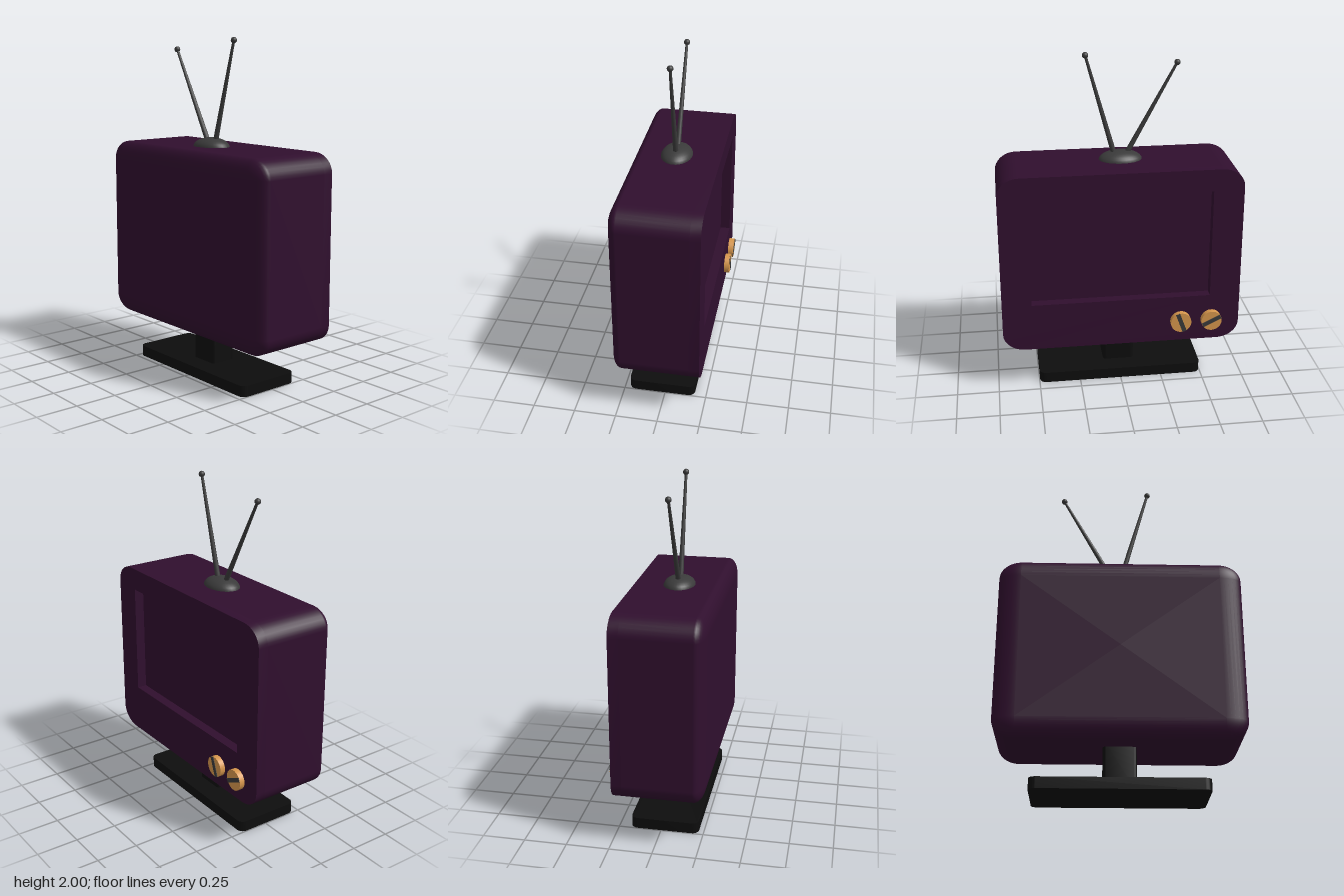
import * as THREE from 'three';
import { toCreasedNormals } from 'three/addons/utils/BufferGeometryUtils.js';

const mat = (name, color) => new THREE.MeshStandardMaterial({ name, color });

// cabinet half sizes, centre height and corner radii
const HW = 0.71, HH = 0.545, CY = 0.82, RX = 0.13, RY = 0.11, RZ = 0.06;
const FRONT = 0.24, RECESS = 0.06, BACK = -0.28, STEPS = 8;

// points round a rectangle with elliptical corners; k shrinks the corner radii
function outline(k = 1) {
  const pts = [];
  [[1, 1], [-1, 1], [-1, -1], [1, -1]].forEach(([sx, sy], c) => {
    for (let i = 0; i <= STEPS; i++) {
      const a = (c + i / STEPS) * Math.PI / 2;
      pts.push({
        x: sx * (HW - RX) + RX * k * Math.cos(a),
        y: sy * (HH - RY) + RY * k * Math.sin(a),
        nx: Math.cos(a) / RX, ny: Math.sin(a) / RY,
      });
    }
  });
  return pts;
}

// cabinet shell: straight sides, then a rounded back closed by a fan
function shellGeometry() {
  const pos = [], nor = [], idx = [];
  const rings = [[0, FRONT - RECESS]];
  for (let j = 0; j <= STEPS; j++) {
    const t = j / STEPS * Math.PI / 2;
    rings.push([t, BACK + RZ - RZ * Math.sin(t)]);
  }
  const n = 4 * (STEPS + 1);
  for (const [t, z] of rings) {
    for (const p of outline(Math.cos(t))) {
      const v = new THREE.Vector3(p.nx * Math.cos(t), p.ny * Math.cos(t), -Math.sin(t) / RZ).normalize();
      pos.push(p.x, p.y, z);
      nor.push(v.x, v.y, v.z);
    }
  }
  const centre = rings.length * n;
  pos.push(0, 0, BACK);
  nor.push(0, 0, -1);
  rings.forEach((_, j) => {
    for (let i = 0; i < n; i++) {
      const a = j * n + i, c = j * n + (i + 1) % n;
      if (j === rings.length - 1) idx.push(a, centre, c);
      else idx.push(a, a + n, c, c, a + n, c + n);
    }
  });
  const g = new THREE.BufferGeometry();
  g.setAttribute('position', new THREE.Float32BufferAttribute(pos, 3));
  g.setAttribute('normal', new THREE.Float32BufferAttribute(nor, 3));
  g.setIndex(idx);
  return g;
}

// upright block with rounded vertical edges, standing on y = 0
function roundedBlock(w, d, h, r) {
  const s = new THREE.Shape();
  const x = w / 2, y = d / 2;
  s.absarc(x - r, y - r, r, 0, Math.PI / 2);
  s.absarc(-x + r, y - r, r, Math.PI / 2, Math.PI);
  s.absarc(-x + r, -y + r, r, Math.PI, Math.PI * 1.5);
  s.absarc(x - r, -y + r, r, Math.PI * 1.5, Math.PI * 2);
  const g = new THREE.ExtrudeGeometry(s, { depth: h, bevelEnabled: false, curveSegments: 5 });
  return toCreasedNormals(g.rotateX(-Math.PI / 2), 0.6);
}

export function createModel() {
  const model = new THREE.Group();
  model.name = 'television';
  const plum = mat('plum cabinet', 0x300f2e);
  const black = mat('black stand', 0x0d0d0d);
  const grey = mat('dark grey metal', 0x3a3a3a);
  const amber = mat('amber knob', 0xd6964c);

  // built with the screen towards +z, then turned towards +x
  const set = new THREE.Group();
  set.name = 'televisionSet';
  set.rotation.y = Math.PI / 2;
  model.add(set);
  const add = (name, geo, material, x = 0, y = 0, z = 0, parent = set) => {
    const m = new THREE.Mesh(geo, material);
    m.name = name;
    m.position.set(x, y, z);
    parent.add(m);
    return m;
  };

  // cabinet with a sunken screen
  add('cabinetShell', shellGeometry(), plum, 0, CY);
  const face = new THREE.Shape(outline().map(p => new THREE.Vector2(p.x, p.y)));
  const [x0, x1, y0, y1] = [-0.535, 0.53, 0.567 - CY, 1.233 - CY];
  face.holes.push(new THREE.Path([[x0, y0], [x0, y1], [x1, y1], [x1, y0]]
    .map(p => new THREE.Vector2(...p))));
  const frame = new THREE.ExtrudeGeometry(face, { depth: RECESS, bevelEnabled: false });
  add('screenFrame', toCreasedNormals(frame, 0.6), plum, 0, CY, FRONT - RECESS);
  add('screen', new THREE.PlaneGeometry(x1 - x0, y1 - y0), plum,
    (x0 + x1) / 2, CY + (y0 + y1) / 2, FRONT - RECESS + 0.001);

  // stand
  add('standBase', roundedBlock(0.994, 0.4, 0.065, 0.04), black, 0, 0, -0.02);
  add('standNeck', roundedBlock(0.19, 0.16, 0.24, 0.02), black, 0, 0.05, -0.02);

  // tuning knobs with a slot strip
  for (const [x, angle] of [[0.354, -1.22], [0.54, 0.46]]) {
    const knob = new THREE.Group();
    knob.name = 'knob';
    knob.position.set(x, 0.408, FRONT);
    knob.rotation.z = angle;
    set.add(knob);
    const disc = new THREE.CylinderGeometry(0.062, 0.062, 0.032, 32).rotateX(Math.PI / 2);
    add('knobDisc', disc, amber, 0, 0, 0.016, knob);
    add('knobSlot', new THREE.BoxGeometry(0.122, 0.026, 0.006), grey, 0, 0, 0.032, knob);
  }

  // antenna: flattened dome and two tapered rods with ball tips
  const dome = add('antennaDome', new THREE.SphereGeometry(1, 32, 16), grey, 0.022, 1.36, -0.02);
  dome.scale.set(0.128, 0.058, 0.093);
  for (const [bx, tx, ty] of [[-0.012, -0.177, 1.983], [0.052, 0.348, 1.928]]) {
    const from = new THREE.Vector3(bx, 1.385, -0.02), to = new THREE.Vector3(tx, ty, -0.02);
    const dir = to.clone().sub(from);
    const mid = from.clone().add(to).multiplyScalar(0.5);
    const rod = add('antennaRod', new THREE.CylinderGeometry(0.008, 0.016, dir.length(), 12), grey, mid.x, mid.y, mid.z);
    rod.quaternion.setFromUnitVectors(new THREE.Vector3(0, 1, 0), dir.normalize());
    add('antennaTip', new THREE.SphereGeometry(0.018, 16, 12), grey, to.x, to.y, to.z);
  }
  return model;
}
